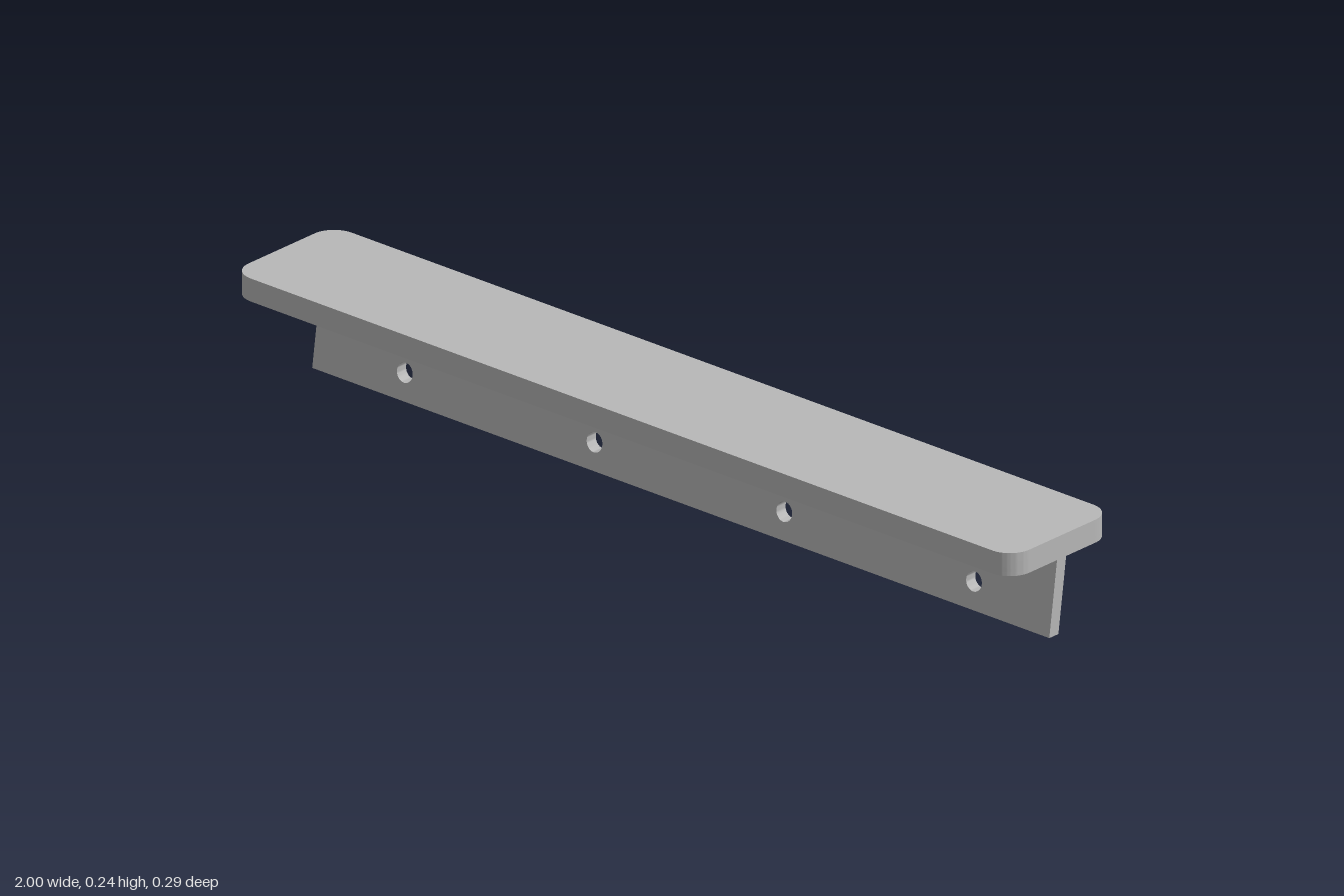
import * as THREE from 'three';
import { toCreasedNormals } from 'three/addons/utils/BufferGeometryUtils.js';

const TOP = 0.241, UNDER = 0.193, GROOVE_DEPTH = 0.008;

function roundedRect(w, d, r) {
  const s = new THREE.Shape(), x = w / 2, y = d / 2;
  s.absarc(x - r, y - r, r, 0, Math.PI / 2);
  s.absarc(-x + r, y - r, r, Math.PI / 2, Math.PI);
  s.absarc(-x + r, -y + r, r, Math.PI, Math.PI * 1.5);
  s.absarc(x - r, -y + r, r, Math.PI * 1.5, Math.PI * 2);
  s.closePath();
  return s;
}

function rectPath(PathType, x0, x1, y0, y1) {
  return new PathType([[x0, y0], [x1, y0], [x1, y1], [x0, y1]].map(([x, y]) => new THREE.Vector2(x, y)));
}

// Horizontal slab between two heights
function slab(shape, y0, y1) {
  const g = new THREE.ExtrudeGeometry(shape, { depth: y1 - y0, bevelEnabled: false, curveSegments: 12 });
  g.rotateX(-Math.PI / 2).translate(0, y0, 0);
  return toCreasedNormals(g, 0.6);
}

export function createModel() {
  const grey = new THREE.MeshStandardMaterial({ color: 0xb8b8b8 });
  grey.name = 'grey';
  const group = new THREE.Group();
  group.name = 'shelf';
  const add = (name, geometry) => {
    const mesh = new THREE.Mesh(geometry, grey);
    mesh.name = name;
    group.add(mesh);
  };

  // Shelf board with rounded corners
  add('shelfBoard', slab(roundedRect(2, 0.288, 0.05), UNDER + GROOVE_DEPTH, TOP));

  // Underside layer, cut by long shallow grooves in front of the mounting plate
  const underside = roundedRect(2, 0.288, 0.05);
  for (const z of [0.035, 0.058, 0.081]) {
    underside.holes.push(rectPath(THREE.Path, -0.93, 0.93, -z - 0.005, -z + 0.005));
  }
  add('groovedUnderside', slab(underside, UNDER, UNDER + GROOVE_DEPTH));

  // Mounting plate with screw holes, leaning back towards its top
  const plate = rectPath(THREE.Shape, -0.944, 0.944, 0, UNDER);
  for (const x of [-0.714, -0.228, 0.258, 0.744]) {
    plate.holes.push(new THREE.Path().absarc(x, 0.056, 0.02, 0, Math.PI * 2, true));
  }
  const plateGeometry = new THREE.ExtrudeGeometry(plate, { depth: 0.026, bevelEnabled: false, curveSegments: 16 });
  plateGeometry.translate(0, 0, -0.051);
  const p = plateGeometry.attributes.position;
  for (let i = 0; i < p.count; i++) p.setZ(i, p.getZ(i) - p.getY(i) * 0.142);
  add('mountingPlate', toCreasedNormals(plateGeometry, 0.6));

  return group;
}
